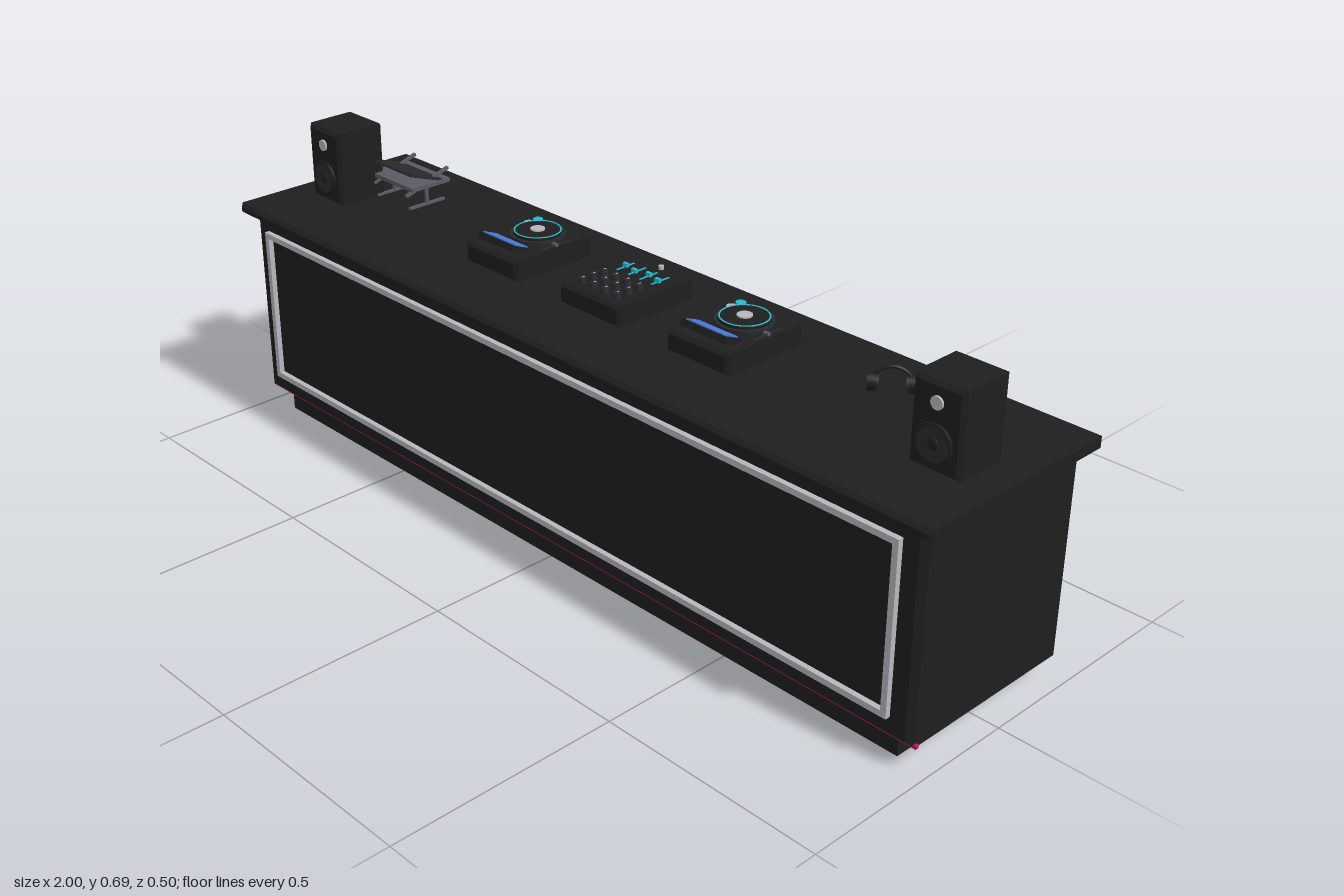
import * as THREE from 'three';

const mat = (name, color, extra = {}) => Object.assign(new THREE.MeshStandardMaterial({ color, ...extra }), { name });

export function createModel() {
  const black = mat('black', 0x1e1e1e);
  const darkGrey = mat('dark grey', 0x2a2a2e);
  const steel = mat('steel', 0x5a5a66);
  const silver = mat('silver', 0xb6b6bc);
  const cyan = mat('cyan', 0x22b8cc);
  const blue = mat('screen blue', 0x4a7ad8);
  const pink = mat('pink', 0xc0186a);
  const root = new THREE.Group();
  const TOP = 0.518;

  function add(parent, name, geometry, material, x = 0, y = 0, z = 0) {
    const m = new THREE.Mesh(geometry, material);
    m.name = name;
    m.position.set(x, y, z);
    parent.add(m);
    return m;
  }
  function group(name, x = 0, y = 0, z = 0) {
    const g = new THREE.Group();
    g.name = name;
    g.position.set(x, y, z);
    root.add(g);
    return g;
  }
  const box = (w, h, d) => new THREE.BoxGeometry(w, h, d);
  const disc = (r, h, n = 32, r2 = r) => new THREE.CylinderGeometry(r2, r, h, n);
  const ring = (r, t) => new THREE.TorusGeometry(r, t, 6, 40);

  // Box with all edges chamfered by b
  function chamferBox(w, h, d, b) {
    const x = w / 2 - b, y = h / 2 - b;
    const s = new THREE.Shape([[-x, -y], [x, -y], [x, y], [-x, y]].map(p => new THREE.Vector2(...p)));
    return new THREE.ExtrudeGeometry(s, {
      depth: d - 2 * b, bevelEnabled: true, bevelThickness: b, bevelSize: b, bevelSegments: 1,
    }).translate(0, 0, b - d / 2);
  }

  // Counter
  add(root, 'plinth', box(1.852, 0.054, 0.38), black, 0, 0.027, 0.008);
  add(root, 'counterBody', chamferBox(1.946, 0.456, 0.438, 0.013), black, 0, 0.28, 0.008);
  add(root, 'counterTop', chamferBox(2, 0.024, 0.487, 0.008), black, 0, 0.506, 0.0085);
  add(root, 'lowerLightStrip', box(1.956, 0.008, 0.008), pink, 0, 0.056, 0.212);
  add(root, 'rearRail', box(1.754, 0.028, 0.04), steel, 0, 0.367, -0.23);

  // Frame on the front panel
  const frame = group('frontFrame', 0, 0.2825, 0.233);
  for (const s of [-1, 1]) {
    add(frame, 'frameBar', box(1.85, 0.013, 0.012), silver, 0, s * 0.176, 0);
    add(frame, 'framePost', box(0.013, 0.339, 0.012), silver, s * 0.9185, 0, 0);
  }

  // Speakers
  for (const s of [-1, 1]) {
    const sp = group(s < 0 ? 'rightSpeaker' : 'leftSpeaker', s * 0.876, TOP, 0.0325);
    add(sp, 'cabinet', chamferBox(0.112, 0.172, 0.125, 0.008), black, 0, 0.086, 0);
    add(sp, 'woofer', disc(0.036, 0.008), darkGrey, 0, 0.057, 0.064).rotation.x = Math.PI / 2;
    add(sp, 'wooferRim', ring(0.036, 0.004), black, 0, 0.057, 0.0655);
    add(sp, 'wooferCap', new THREE.SphereGeometry(0.012, 20, 12).scale(1, 1, 0.4), black, 0, 0.057, 0.067);
    add(sp, 'tweeter', disc(0.013, 0.006, 24), silver, 0, 0.134, 0.064).rotation.x = Math.PI / 2;
  }

  // Disc players
  for (const s of [-1, 1]) {
    const p = group(s < 0 ? 'rightPlayer' : 'leftPlayer', s * 0.303, TOP, -0.019);
    add(p, 'playerBody', chamferBox(0.164, 0.046, 0.214, 0.007), black, 0, 0.023, 0);
    add(p, 'platterBase', disc(0.06, 0.008, 40), darkGrey, 0, 0.049, -0.026);
    add(p, 'platter', disc(0.053, 0.008, 40), black, 0, 0.055, -0.026);
    add(p, 'platterGlow', ring(0.05, 0.0025), cyan, 0, 0.058, -0.026).rotation.x = Math.PI / 2;
    add(p, 'platterCentre', disc(0.016, 0.004, 24), silver, 0, 0.06, -0.026);
    // Display housing leans towards the operator at the rear
    const housing = new THREE.Group();
    housing.name = 'display';
    housing.position.set(0, 0.054, 0.068);
    housing.rotation.x = -0.4;
    p.add(housing);
    add(housing, 'displayHousing', box(0.118, 0.014, 0.048), black);
    add(housing, 'displayScreen', box(0.104, 0.003, 0.038), blue, 0, 0.008, 0);
    add(p, 'cueButton', disc(0.011, 0.006, 20), cyan, -0.061, 0.048, -0.08);
    add(p, 'playButton', disc(0.011, 0.006, 20), silver, -0.061, 0.048, -0.054);
    add(p, 'pitchTrack', box(0.005, 0.002, 0.08), darkGrey, 0.071, 0.047, -0.015);
    add(p, 'pitchFader', box(0.014, 0.006, 0.007), steel, 0.071, 0.049, -0.012);
  }

  // Mixer
  const mixer = group('mixer', 0, TOP, -0.019);
  add(mixer, 'mixerBody', chamferBox(0.176, 0.045, 0.214, 0.007), black, 0, 0.0225, 0);
  [-0.051, -0.017, 0.017, 0.051].forEach((x, i) => {
    add(mixer, 'faderTrack', box(0.004, 0.002, 0.05), cyan, x, 0.0455, -0.045);
    add(mixer, 'faderCap', box(0.013, 0.009, 0.008), cyan, x, 0.049, i % 2 ? -0.038 : -0.046);
    for (const z of [0.015, 0.045, 0.075]) {
      add(mixer, 'knob', disc(0.009, 0.013, 16, 0.0075), darkGrey, x, 0.051, z);
      add(mixer, 'knobMark', box(0.002, 0.001, 0.006), silver, x, 0.058, z - 0.003);
    }
  });
  add(mixer, 'masterKnob', disc(0.006, 0.008, 16), silver, 0.008, 0.049, -0.09);

  // Laptop on a wire stand
  const lap = group('laptopStand', -0.76, TOP, -0.055);
  for (const s of [-1, 1]) {
    add(lap, 'standArm', box(0.008, 0.006, 0.128), steel, s * 0.06, 0.054, -0.003).rotation.x = 0.32;
    add(lap, 'standLeg', box(0.007, 0.05, 0.007), steel, s * 0.06, 0.025, 0.0);
    add(lap, 'standFoot', box(0.008, 0.005, 0.1), steel, s * 0.06, 0.0025, 0);
  }
  add(lap, 'standCrossbar', box(0.12, 0.006, 0.006), steel, 0, 0.045, 0);
  add(lap, 'laptopBase', box(0.16, 0.009, 0.108), steel, 0, 0.052, 0);
  const lid = new THREE.Group();
  lid.name = 'laptopLid';
  lid.position.set(0, 0.068, 0.002);
  lid.rotation.x = -0.34;
  lap.add(lid);
  add(lid, 'lidShell', box(0.152, 0.005, 0.108), darkGrey);
  add(lid, 'lidScreen', box(0.142, 0.002, 0.098), blue, 0, -0.003, 0);

  // Headphones
  const hp = group('headphones', 0.633, TOP, -0.093);
  hp.rotation.y = 0.65;
  add(hp, 'headband', new THREE.TorusGeometry(0.039, 0.004, 8, 32, Math.PI), black, 0, 0.012, 0);
  for (const s of [-1, 1]) {
    add(hp, 'earCup', disc(0.018, 0.016, 24), black, s * 0.039, 0.018, 0).rotation.z = Math.PI / 2;
    add(hp, 'earPad', disc(0.015, 0.008, 24), darkGrey, s * 0.029, 0.018, 0).rotation.z = Math.PI / 2;
  }
  return root;
}
